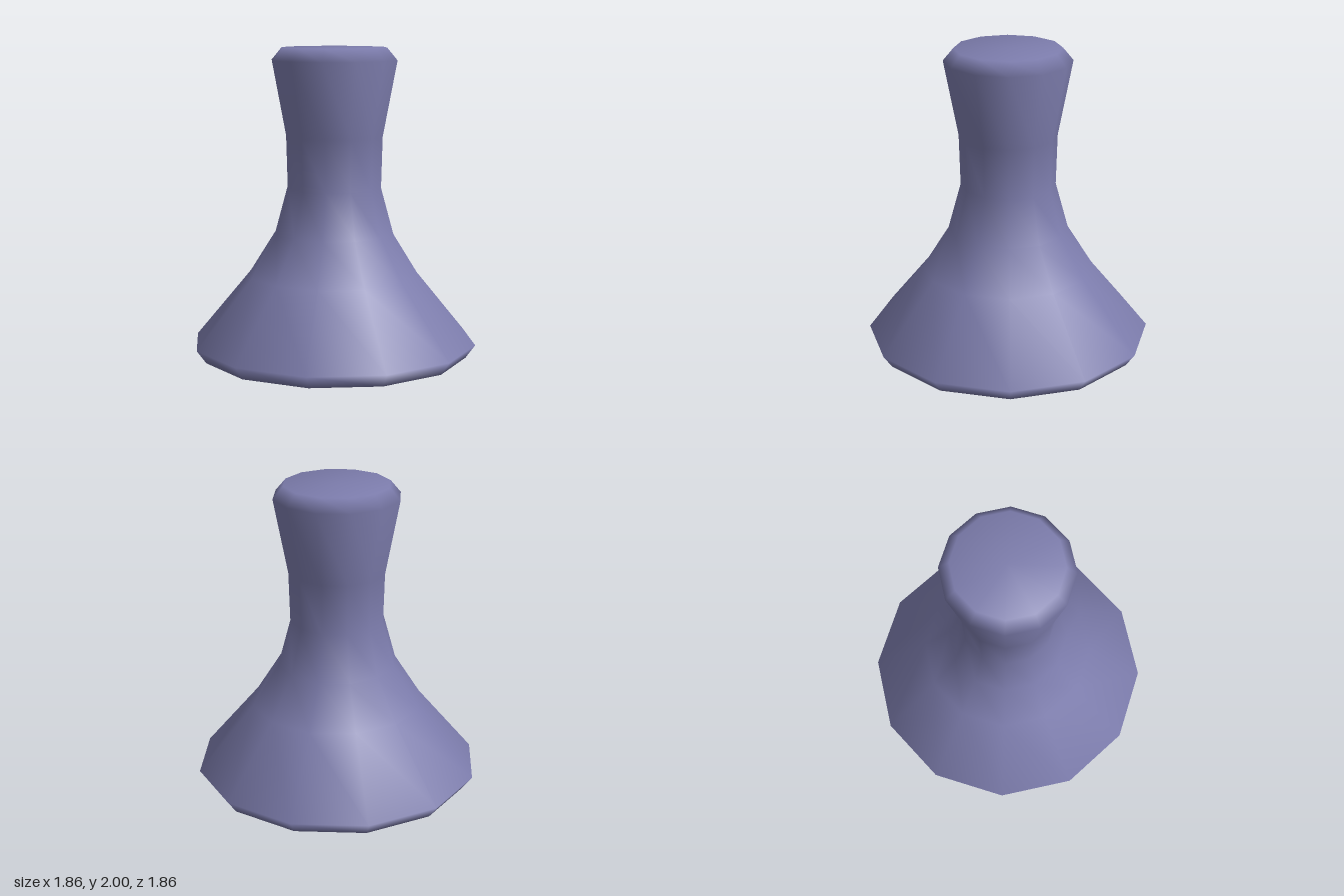
import * as THREE from 'three';
import { mergeVertices } from 'three/addons/utils/BufferGeometryUtils.js';

export function createModel() {
  const group = new THREE.Group();
  group.name = 'flaredPedestal';

  const slateBlue = new THREE.MeshStandardMaterial({ color: 0x7c7cac });
  slateBlue.name = 'slateBlue';

  // Profile from the underside centre, over the flared foot and narrow neck, to the top centre
  const profile = [
    [0, 0], [0.868, 0], [0.93, 0.085], [0.56, 0.53], [0.39, 0.8],
    [0.308, 1.1], [0.317, 1.43], [0.41, 1.92], [0.343, 2], [0, 2],
  ].map(([r, y]) => new THREE.Vector2(r, y));

  // Twelve-sided turned body, welded so shading runs smoothly over the bevelled rims
  const lathe = new THREE.LatheGeometry(profile, 12);
  lathe.deleteAttribute('uv');
  lathe.deleteAttribute('normal');
  const geometry = mergeVertices(lathe, 1e-4);
  geometry.computeVertexNormals();

  const body = new THREE.Mesh(geometry, slateBlue);
  body.name = 'body';
  group.add(body);
  return group;
}
